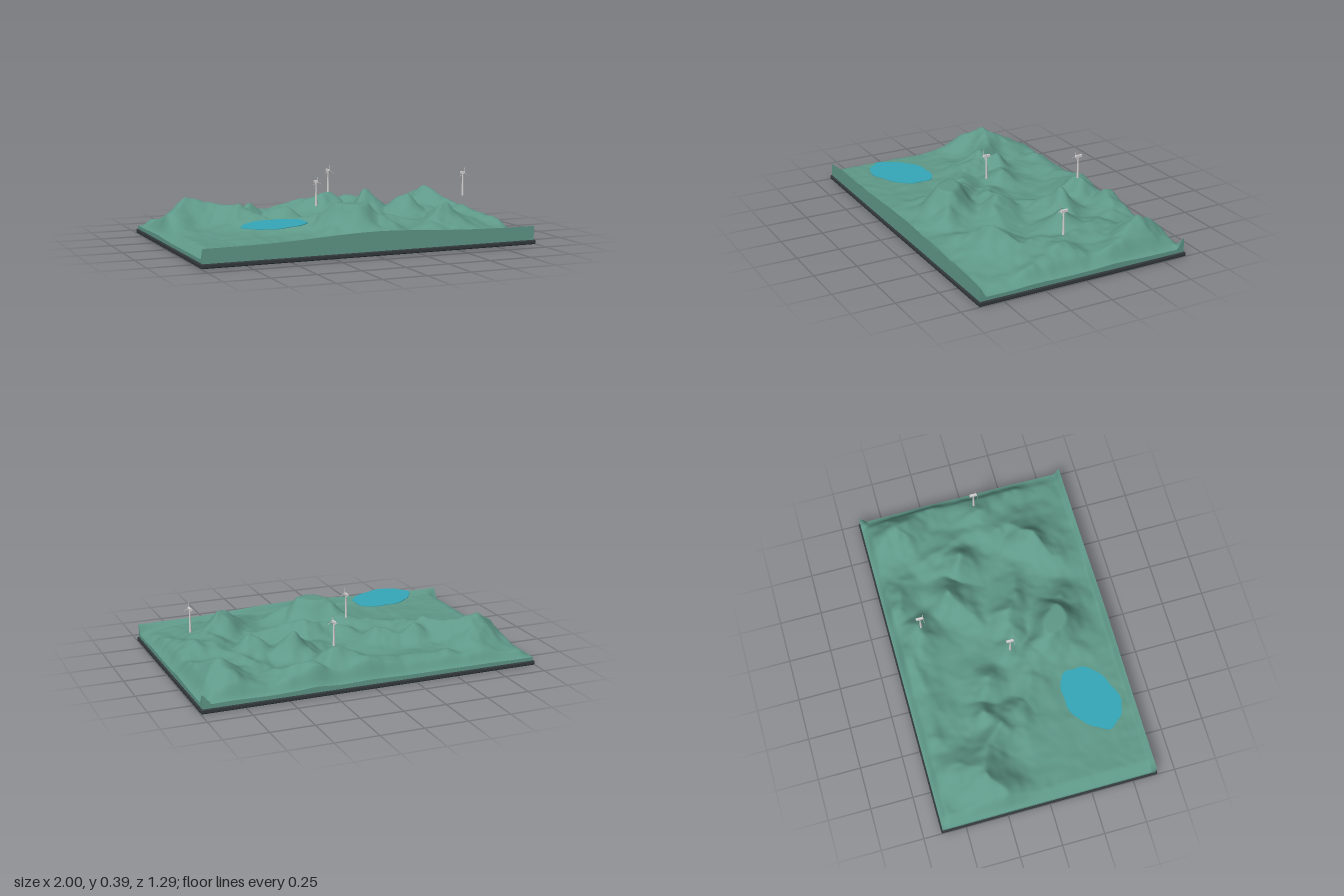
import * as THREE from 'three';
import { RoundedBoxGeometry } from 'three/addons/geometries/RoundedBoxGeometry.js';

const mat = (name, color, side = THREE.FrontSide) => {
  const m = new THREE.MeshStandardMaterial({ color, side });
  m.name = name;
  return m;
};
const { smoothstep, lerp, clamp } = THREE.MathUtils;
const W = 1.98, D = 1.27, FLOOR = 0.02, CAP = 0.248;

// Ridge crests as x, z, height
const ridges = [
  [[-0.9, -0.24, 0.17], [-0.77, -0.32, 0.24], [-0.62, -0.26, 0.2], [-0.52, -0.14, 0.215], [-0.42, 0, 0.14], [-0.22, 0.09, 0.15], [-0.12, 0.17, 0.17], [-0.02, 0.31, 0.3]],
  [[-0.74, -0.33, 0.22], [-0.67, -0.48, 0.16]],
  [[-0.43, -0.22, 0.2], [-0.36, -0.2, 0.14], [-0.24, -0.15, 0.195]],
  [[-0.02, 0.31, 0.3], [0.05, 0.34, 0.27], [0.13, 0.38, 0.19]],
  [[-0.45, -0.54, 0.13], [-0.2, -0.53, 0.12], [0.02, -0.54, 0.17], [0.17, -0.45, 0.215]],
  [[0.34, -0.56, 0.18], [0.5, -0.47, 0.13]],
  [[0.18, -0.13, 0.14], [0.32, -0.22, 0.245], [0.42, -0.17, 0.15], [0.54, -0.13, 0.225]],
  [[0.72, -0.37, 0.14], [0.81, -0.46, 0.225], [0.92, -0.2, 0.14]],
  [[0.62, -0.3, 0.15], [0.7, -0.05, 0.14], [0.7, 0.23, 0.15], [0.56, 0.35, 0.245], [0.42, 0.45, 0.15]],
  [[-0.1, 0, 0.15], [0.13, 0.08, 0.2], [0.4, 0.2, 0.12]],
  [[0.82, 0.03, 0.17], [0.92, 0.3, 0.11]],
];

// Smooth value noise from -1 to 1
const hash = (i, j) => {
  const s = Math.sin(i * 127.1 + j * 311.7) * 43758.5453;
  return 2 * (s - Math.floor(s)) - 1;
};
function noise(x, z) {
  const i = Math.floor(x), j = Math.floor(z);
  const u = smoothstep(x - i, 0, 1), v = smoothstep(z - j, 0, 1);
  return lerp(lerp(hash(i, j), hash(i + 1, j), u), lerp(hash(i, j + 1), hash(i + 1, j + 1), u), v);
}

// Ground height: valley floor, blended ridges and gullies, trimmed at the four edges
function heightAt(x, z) {
  const wx = x + 0.025 * noise(9 * x, 9 * z), wz = z + 0.025 * noise(9 * x + 40, 9 * z);
  const floor = 0.08 - 0.02 * smoothstep(x, 0.75, 1);
  let sum = 0;
  for (const pts of ridges) {
    let best = 0;
    for (let i = 0; i < pts.length - 1; i++) {
      const [ax, az, ah] = pts[i], [bx, bz, bh] = pts[i + 1];
      const dx = bx - ax, dz = bz - az;
      const t = clamp(((wx - ax) * dx + (wz - az) * dz) / (dx * dx + dz * dz), 0, 1);
      const d = Math.hypot(wx - ax - t * dx, wz - az - t * dz);
      best = Math.max(best, (ah + t * (bh - ah) - floor) * Math.exp(-Math.pow(d / 0.115, 1.4)));
    }
    sum += best ** 4;
  }
  const rise = Math.pow(sum, 0.25);
  const gullies = (noise(12 * x, 12 * z) + 0.5 * noise(25 * x, 25 * z)) * (0.004 + 0.08 * rise);
  let h = Math.min(floor + rise + gullies, CAP);
  // Sides and back run down low, the back left corner and front rim turn up
  h = lerp(h, 0.045 + 0.2 * (h - floor), smoothstep(Math.abs(x), 0.92, 0.99));
  h = lerp(h, 0.045 + 0.2 * rise + 0.06 * smoothstep(x, 0.94, 0.99), smoothstep(-z, 0.585, D / 2));
  return lerp(h, 0.105 + 0.03 * Math.exp(-((x / 0.45) ** 2)), smoothstep(z, 0.6, D / 2));
}

// Flat side wall following the ground edge
function wall(length, edgeHeight) {
  const s = new THREE.Shape();
  s.moveTo(-length / 2, FLOOR);
  s.lineTo(length / 2, FLOOR);
  for (let i = 120; i >= 0; i--) {
    const t = (i / 120 - 0.5) * length;
    s.lineTo(t, edgeHeight(t));
  }
  return new THREE.ShapeGeometry(s);
}

// Lake outline: a tilted ellipse with a wavy shore
function lakeShape() {
  const points = [];
  for (let i = 0; i < 60; i++) {
    const a = i / 60 * Math.PI * 2;
    const r = 1 + 0.03 * Math.sin(5 * a) + 0.02 * Math.sin(9 * a + 1);
    points.push(new THREE.Vector2(0.212 * r * Math.cos(a), 0.143 * r * Math.sin(a)).rotateAround(new THREE.Vector2(), 0.44));
  }
  return new THREE.Shape(points);
}

export function createModel() {
  const model = new THREE.Group();
  const green = mat('hill green', 0x5f9988);
  const greenWall = mat('wall green', 0x5f9988, THREE.DoubleSide);
  const blue = mat('lake blue', 0x36a8ba);
  const dark = mat('base charcoal', 0x33393b);
  const pale = mat('turbine grey', 0xd6d3d3);
  const add = (parent, name, geo, m, x = 0, y = 0, z = 0) => {
    const mesh = new THREE.Mesh(geo, m);
    mesh.name = name;
    mesh.position.set(x, y, z);
    parent.add(mesh);
    return mesh;
  };

  // Base plate
  add(model, 'basePlate', new RoundedBoxGeometry(2, 0.025, 1.29, 2, 0.007), dark, 0, 0.0125, 0);

  // Hills
  const land = new THREE.PlaneGeometry(W, D, 180, 120).rotateX(-Math.PI / 2);
  const p = land.attributes.position;
  for (let i = 0; i < p.count; i++) p.setY(i, heightAt(p.getX(i), p.getZ(i)));
  land.computeVertexNormals();
  add(model, 'hills', land, green);

  // Cut sides of the land
  for (const s of [1, -1]) {
    const long = wall(W, t => heightAt(s * t, s * D / 2));
    add(model, s > 0 ? 'frontWall' : 'backWall', long, greenWall, 0, 0, s * D / 2).rotation.y = s > 0 ? 0 : Math.PI;
    const short = wall(D, t => heightAt(s * W / 2, -s * t));
    add(model, s > 0 ? 'leftWall' : 'rightWall', short, greenWall, s * W / 2).rotation.y = s * Math.PI / 2;
  }

  // Lake sheet
  const lake = new THREE.ExtrudeGeometry(lakeShape(), { depth: 0.003, bevelEnabled: false }).rotateX(-Math.PI / 2);
  add(model, 'lake', lake, blue, -0.5, 0.168, 0.387);

  // Wind turbines: tower, housing, hub and three blades
  const blade = new THREE.CylinderGeometry(0.001, 0.003, 0.036, 6).scale(1, 1, 0.5).translate(0, 0.018, 0);
  for (const [x, z, foot, hub] of [[-0.1, 0.014, 0.2, 0.342], [0.17, -0.451, 0.21, 0.346], [0.84, 0.052, 0.218, 0.355]]) {
    const turbine = new THREE.Group();
    turbine.name = 'windTurbine';
    turbine.position.set(x, hub, z);
    const tall = hub - foot;
    add(turbine, 'tower', new THREE.CylinderGeometry(0.004, 0.007, tall, 12), pale, 0, -tall / 2, 0);
    add(turbine, 'housing', new THREE.BoxGeometry(0.012, 0.014, 0.04), pale, 0, 0, -0.003);
    add(turbine, 'hub', new THREE.SphereGeometry(0.005, 12, 8), pale, 0, 0, 0.018);
    for (let i = 0; i < 3; i++) add(turbine, 'blade', blade, pale, 0, 0, 0.02).rotation.z = i * 2 * Math.PI / 3;
    model.add(turbine);
  }
  return model;
}
